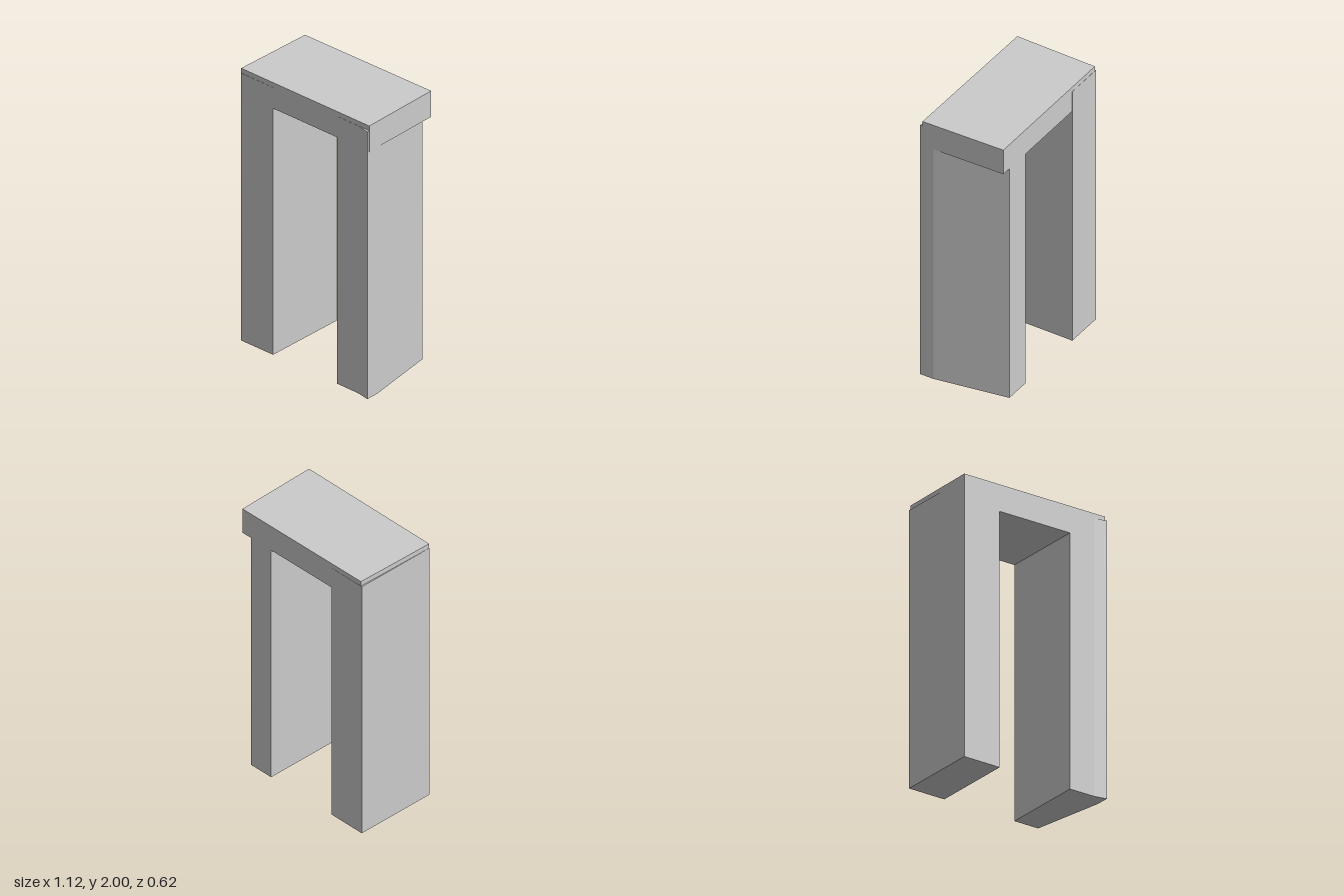
import * as THREE from 'three';

const material = new THREE.MeshStandardMaterial({ color: 0xcccccc, flatShading: true });

// Upright prism from a floor-plan outline of [x, z] corners
function prism(name, plan, bottom, top) {
  const shape = new THREE.Shape(plan.map(([x, z]) => new THREE.Vector2(x, -z)));
  const geometry = new THREE.ExtrudeGeometry(shape, { depth: top - bottom, bevelEnabled: false });
  geometry.rotateX(-Math.PI / 2).translate(0, bottom, 0);
  const mesh = new THREE.Mesh(geometry, material);
  mesh.name = name;
  return mesh;
}

export function createModel() {
  const group = new THREE.Group();
  group.name = 'stoneArch';

  // Lintel: a slightly skewed slab across both pillars
  group.add(prism('lintel', [
    [-0.559, 0.288], [0.556, 0.292], [0.54, -0.314], [-0.55, -0.309],
  ], 1.81, 2));

  // Right pillar: plain block, its outer side just proud of the lintel
  group.add(prism('rightPillar', [
    [-0.56, 0.29], [-0.28, 0.29], [-0.28, -0.311], [-0.56, -0.311],
  ], 0, 1.965));

  // Left pillar: outer side tapers to the back, front corner flares out
  group.add(prism('leftPillar', [
    [0.277, 0.292], [0.465, 0.293], [0.556, 0.311], [0.554, 0.21],
    [0.465, -0.312], [0.277, -0.312],
  ], 0, 1.965));

  return group;
}
